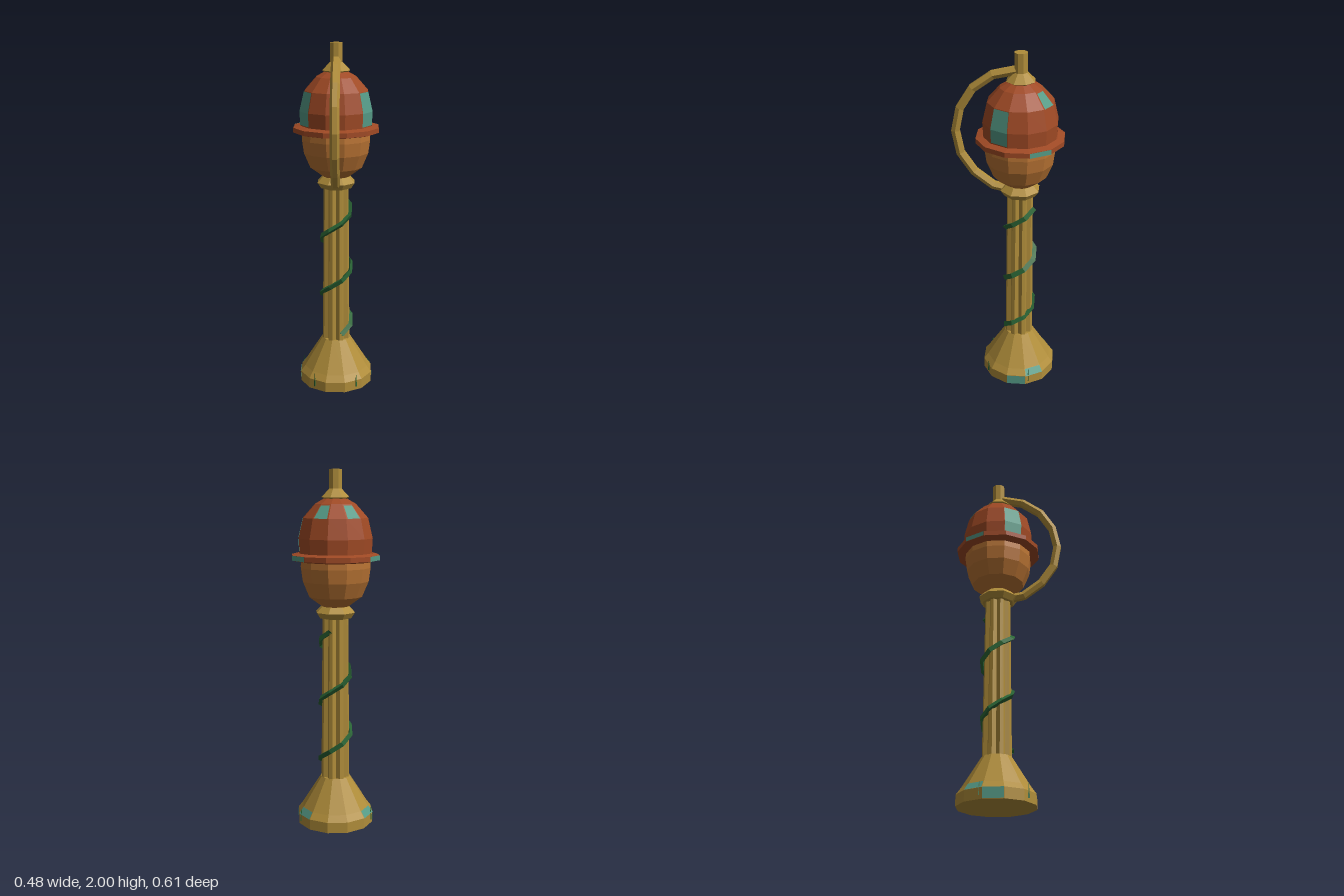
import * as THREE from 'three';

const flat = (name, color) => {
  const m = new THREE.MeshStandardMaterial({ color, flatShading: true, side: THREE.DoubleSide });
  m.name = name;
  return m;
};
const rad = THREE.MathUtils.degToRad;

export function createModel() {
  const brass = flat('brass', 0xb08d3a);
  const red = flat('redCopper', 0xa04a25);
  const copper = flat('copper', 0xb87333);
  const patina = flat('patina', 0x559a86);
  const green = flat('vineGreen', 0x2a6535);

  const model = new THREE.Group();
  model.name = 'lampPost';
  const post = new THREE.Group();
  post.name = 'post';
  post.position.z = -0.07;
  model.add(post);

  const add = (name, geometry, material) => {
    const mesh = new THREE.Mesh(geometry, material);
    mesh.name = name;
    post.add(mesh);
    return mesh;
  };
  const points = (profile, k, out = 0) => profile.map(([r, y]) => new THREE.Vector2(r > 0 ? (r + out) * k : 0, y));

  // Faceted solid of revolution; radii are measured to the middle of each side
  const turned = (name, profile, sides, material) => {
    const half = Math.PI / sides;
    return add(name, new THREE.LatheGeometry(points(profile, 1 / Math.cos(half)), sides, half), material);
  };
  // Thin patina plate on one side of a twelve-sided part, mirrored left and right
  const patch = (name, profile, angle, width = 29) => {
    const half = rad(width / 2);
    for (const s of [1, -1]) {
      const geo = new THREE.LatheGeometry(points(profile, 1 / Math.cos(half), 0.003), 1, s * rad(angle) - half, 2 * half);
      add(name + (s > 0 ? 'Left' : 'Right'), geo, patina);
    }
  };

  // Base
  turned('base', [[0, 0], [0.21, 0], [0.21, 0.06], [0.185, 0.095], [0.08, 0.27], [0, 0.27]], 12, brass);
  patch('basePatina', [[0.21, 0.002], [0.21, 0.06]], 90);
  patch('baseSlopePatina', [[0.21, 0.06], [0.185, 0.096]], 120);

  // Fluted column: every third corner is pulled inward
  const column = new THREE.CylinderGeometry(0.073, 0.082, 0.96, 24, 1, true);
  const pos = column.attributes.position;
  for (let i = 0; i < pos.count; i++) {
    if ((i % 25) % 3 === 0) {
      pos.setX(i, pos.getX(i) * 0.8);
      pos.setZ(i, pos.getZ(i) * 0.8);
    }
  }
  add('column', column, brass).position.y = 0.74;

  // Collar, lamp bowl, rim and dome
  turned('collar', [[0, 1.19], [0.085, 1.19], [0.105, 1.222], [0.075, 1.255], [0, 1.255]], 8, brass);
  turned('lampBowl', [[0.06, 1.245], [0.145, 1.31], [0.18, 1.395], [0.19, 1.47], [0.187, 1.52]], 12, copper);
  turned('rim', [[0.18, 1.505], [0.205, 1.505], [0.237, 1.513], [0.237, 1.54], [0.2, 1.55]], 12, red);
  turned('dome', [[0.195, 1.54], [0.2, 1.63], [0.175, 1.74], [0.11, 1.815], [0.05, 1.85], [0, 1.85]], 12, red);
  patch('domePatina', [[0.196, 1.555], [0.2, 1.63], [0.175, 1.738]], 60);
  patch('domeUpperPatina', [[0.175, 1.74], [0.166, 1.75], [0.116, 1.808]], 150, 25);
  patch('rimPatina', [[0.237, 1.513], [0.237, 1.54]], 120);

  // Finial
  turned('finial', [[0.05, 1.835], [0.075, 1.85], [0.034, 1.895], [0.034, 2], [0, 2]], 8, brass);

  // Curved handle at the front
  const path = new THREE.CatmullRomCurve3([
    [0.02, 1.905], [0.115, 1.89], [0.235, 1.82], [0.32, 1.7], [0.352, 1.56],
    [0.32, 1.41], [0.235, 1.3], [0.12, 1.225], [0.02, 1.212],
  ].map(([z, y]) => new THREE.Vector3(0, y, z)));
  add('handle', new THREE.TubeGeometry(path, 8, 0.026, 6), brass);

  // Vine winding up the column
  const vine = [];
  for (let i = 0; i <= 19; i++) {
    const t = 0.06 + i / 8;
    const a = t * Math.PI * 2;
    vine.push(new THREE.Vector3(Math.sin(a) * 0.088, 0.29 + 0.34 * t, Math.cos(a) * 0.088));
  }
  add('vine', new THREE.TubeGeometry(new THREE.CatmullRomCurve3(vine), 19, 0.017, 3), green);

  // Small blades of grass around the base
  for (const deg of [35, -35, 110, -110]) {
    const blade = add('grassBlade', new THREE.ConeGeometry(0.007, 0.085, 3), green);
    blade.position.set(Math.sin(rad(deg)) * 0.212, 0.063, Math.cos(rad(deg)) * 0.212);
  }

  return model;
}
